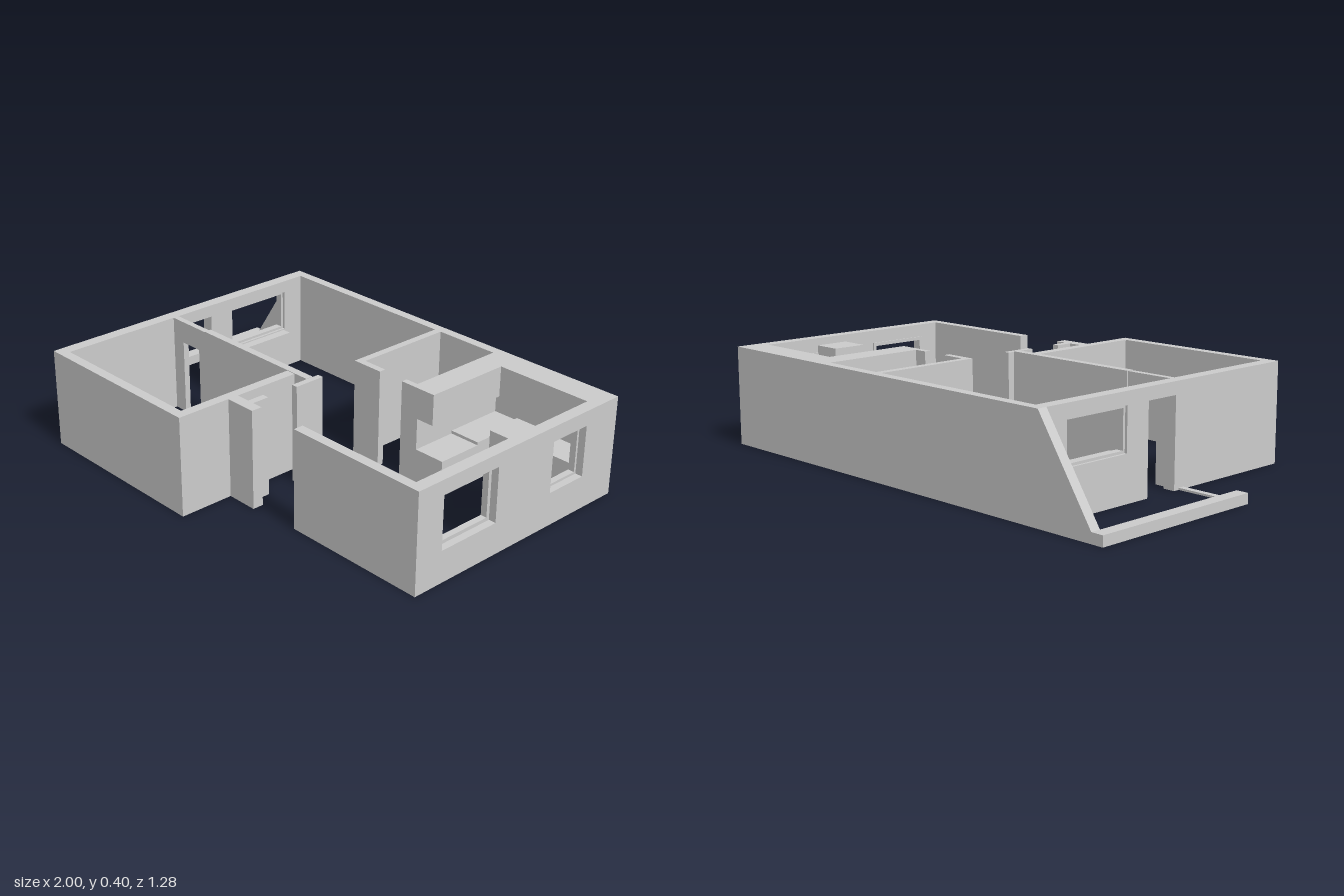
import * as THREE from 'three';

export function createModel() {
  const model = new THREE.Group();
  const mat = new THREE.MeshStandardMaterial({ color: 0xcccccc, flatShading: true });
  const H = 0.4; // wall height

  const add = (name, geo) => {
    const mesh = new THREE.Mesh(geo, mat);
    mesh.name = name;
    model.add(mesh);
  };

  // Box given by its limits on each axis
  const block = (name, x0, x1, z0, z1, y0 = 0, y1 = H) => {
    const geo = new THREE.BoxGeometry(x1 - x0, y1 - y0, z1 - z0);
    geo.translate((x0 + x1) / 2, (y0 + y1) / 2, (z0 + z1) / 2);
    add(name, geo);
  };

  const outline = (points) => points.map(([a, b]) => new THREE.Vector2(a, b));
  const rect = ([a0, a1, y0, y1]) => outline([[a0, y0], [a1, y0], [a1, y1], [a0, y1]]);
  const extrude = (points, holes, depth) => {
    const shape = new THREE.Shape(points);
    for (const h of holes) shape.holes.push(new THREE.Path(rect(h)));
    return new THREE.ExtrudeGeometry(shape, { depth, bevelEnabled: false });
  };

  // Panel running along z, outline in (z, y), between x0 and x1
  const sidePanel = (name, x0, x1, points, holes) => {
    const geo = extrude(points, holes, x1 - x0);
    geo.rotateY(-Math.PI / 2);
    geo.translate(x1, 0, 0);
    add(name, geo);
  };

  // Thin frame lining a window opening in a side wall
  const windowFrame = (name, x0, x1, [z0, z1, y0, y1], t = 0.014) =>
    sidePanel(name, x0, x1, rect([z0, z1, y0, y1]), [[z0 + t, z1 - t, y0 + t, y1 - t]]);

  // Back wall with the sloping end beside the terrace
  const back = extrude(outline([[-1, 0], [1, 0], [1, H], [-0.71, H], [-0.95, 0.04], [-1, 0.04]]), [], 0.04);
  back.translate(0, 0, -0.64);
  add('backWall', back);

  // Outer wall with two windows
  const largeWindow = [0.007, 0.277, 0.128, 0.347];
  const smallWindow = [-0.466, -0.284, 0.135, 0.34];
  sidePanel('leftOuterWall', 0.95, 1, rect([-0.6, 0.4, 0, H]), [largeWindow, smallWindow]);
  windowFrame('largeWindowFrame', 0.944, 0.97, largeWindow);
  windowFrame('smallWindowFrame', 0.944, 0.97, smallWindow, 0.01);

  // Terrace-side wall with a doorway and a window
  const terraceWindow = [-0.505, -0.21, 0.18, 0.35];
  sidePanel('terraceSideWall', -0.71, -0.66, outline([
    [-0.6, 0], [-0.1, 0], [-0.1, 0.35], [0.045, 0.35], [0.045, 0], [0.64, 0], [0.64, H], [-0.6, H],
  ]), [terraceWindow]);
  windowFrame('terraceWindowFrame', -0.7, -0.67, terraceWindow, 0.01);
  block('windowSill', -0.66, -0.62, -0.5, -0.2, 0.15, 0.175);

  // Terrace edging
  block('terraceKerb', -1, -0.95, -0.6, 0.095, 0, 0.04);
  block('terraceThreshold', -0.95, -0.71, 0.07, 0.095, 0, 0.008);

  // Front bedroom walls
  block('bedroomFrontWall', -0.66, 0.07, 0.6, 0.64);
  block('bedroomInnerWall', 0.03, 0.07, 0.095, 0.6);
  const partition = extrude(outline([
    [-0.66, 0], [-0.6, 0], [-0.6, 0.31], [-0.5, 0.31], [-0.5, 0], [-0.46, 0], [-0.46, H], [-0.66, H],
  ]), [], 0.025);
  partition.translate(0, 0, 0.07);
  add('partitionDoorway', partition);
  block('partitionWall', -0.46, 0.135, 0.064, 0.095, 0, 0.402);

  // Entrance walls
  block('hallDoorJamb', 0.135, 0.16, 0.035, 0.165);
  block('entranceWall', 0.07, 0.2, 0.37, 0.415);
  block('entranceDoorJamb', 0.127, 0.155, 0.3, 0.37);
  block('livingFrontWall', 0.405, 0.95, 0.36, 0.4);
  block('livingFrontCorner', 0.95, 1, 0.395, 0.4);

  // Bathroom walls either side of its doorway
  block('bathroomWall', 0.135, 0.165, -0.6, -0.155);
  block('bathroomDoorJamb', 0.165, 0.27, -0.183, -0.155);
  block('kitchenWall', 0.44, 0.468, -0.6, -0.155);
  block('kitchenDoorJamb', 0.385, 0.44, -0.18, -0.155);

  // Kitchen: hanging cabinets over an L-shaped counter
  block('upperCabinetSide', 0.468, 0.545, -0.525, -0.155, 0.275, H);
  block('upperCabinetBack', 0.468, 0.95, -0.6, -0.525, 0.275, H);
  block('counterBack', 0.468, 0.95, -0.6, -0.475, 0, 0.16);
  block('counterSide', 0.468, 0.6, -0.475, -0.35, 0, 0.16);
  block('counterEnd', 0.468, 0.6, -0.35, -0.155, 0, 0.148);
  block('tallCabinet', 0.83, 0.95, -0.283, -0.139, 0, 0.37);

  return model;
}
